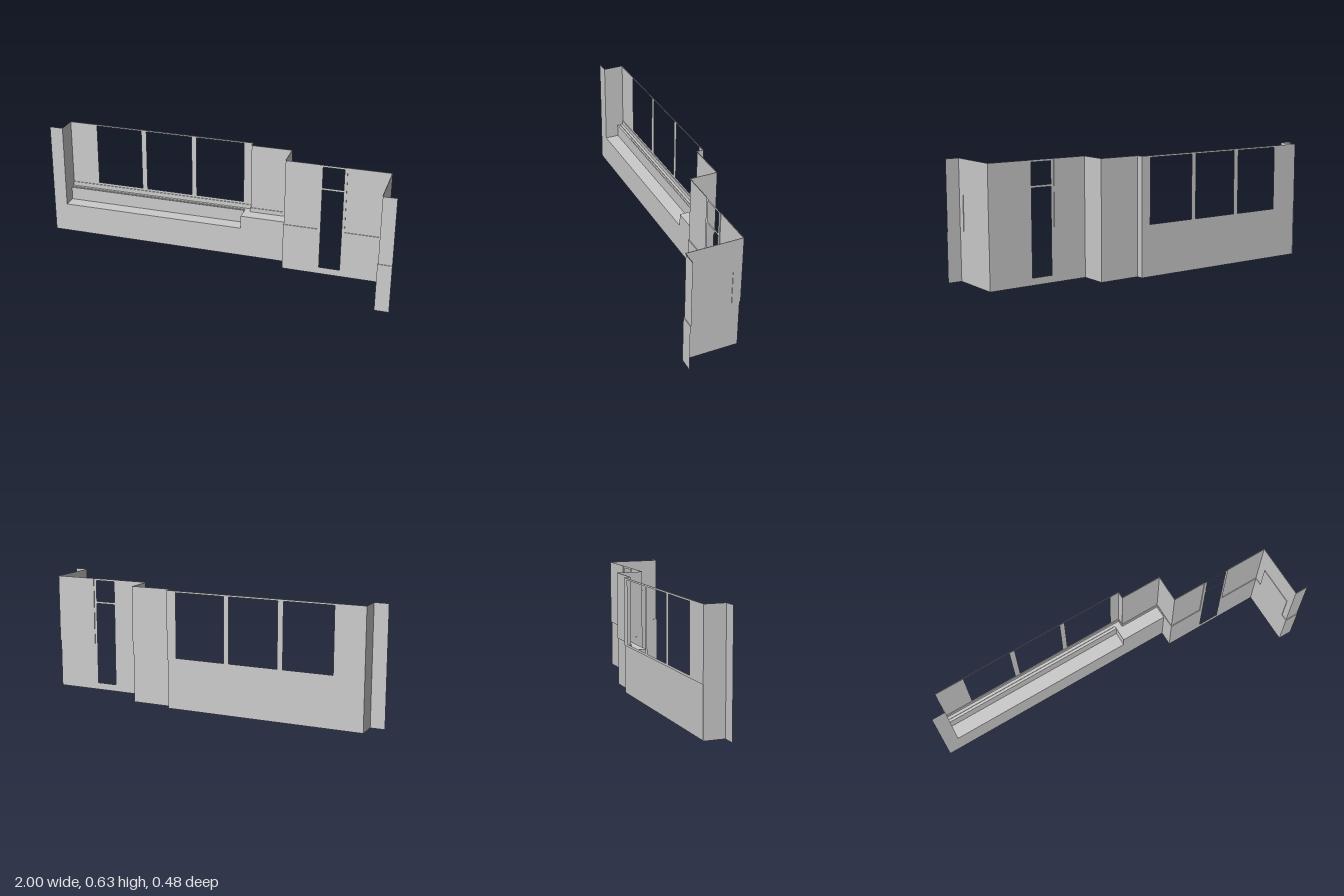
import * as THREE from 'three';

const TOP = 0.629, RAIL = 0.262;
const material = new THREE.MeshStandardMaterial({ color: 0xcccccc, flatShading: true, side: THREE.DoubleSide });

// Wall plan as [x, z]: the inner (lower) line, and the outer (upper) line set slightly back
const inner = [[-0.925, -0.238], [0.145, -0.238], [0.145, -0.201], [0.37, -0.201], [0.37, -0.053], [0.925, -0.053], [0.925, 0.242], [1, 0.242]];
const outer = [[-0.925, -0.242], [0.148, -0.242], [0.148, -0.205], [0.373, -0.205], [0.373, -0.057], [0.928, -0.057], [0.928, 0.238], [1, 0.238]];
const IN_Z = inner[4][1], OUT_Z = outer[4][1];
const CASE_L = 0.555, CASE_R = 0.70;        // door casing
const PANEL_BACK = -0.01, PANEL_FRONT = 0.202, PANEL_TOP = 0.447; // raised panel on the side wall

const rect = (u0, u1, v0, v1) => [[u0, v0], [u1, v0], [u1, v1], [u0, v1]];

export function createModel() {
  const group = new THREE.Group();

  const add = (name, geometry) => {
    const mesh = new THREE.Mesh(geometry, material);
    mesh.name = name;
    group.add(mesh);
    return mesh;
  };

  // Flat sheet in the plane z = at (u is x) or x = at (u is z)
  const sheet = (name, axis, at, outline, holes = []) => {
    const toPoints = (list) => list.map(([u, v]) => new THREE.Vector2(axis === 'z' ? u : -u, v));
    const shape = new THREE.Shape(toPoints(outline));
    for (const hole of holes) shape.holes.push(new THREE.Path(toPoints(hole)));
    const mesh = add(name, new THREE.ShapeGeometry(shape));
    if (axis === 'x') mesh.rotation.y = Math.PI / 2;
    mesh.position[axis] = at;
  };

  // Strip of quads between two matching lines of [x, y, z] points
  const ribbon = (name, a, b) => {
    const position = [];
    for (let i = 0; i < a.length - 1; i++) {
      position.push(...a[i], ...a[i + 1], ...b[i + 1], ...a[i], ...b[i + 1], ...b[i]);
    }
    const geometry = new THREE.BufferGeometry();
    geometry.setAttribute('position', new THREE.Float32BufferAttribute(position, 3));
    geometry.computeVertexNormals();
    add(name, geometry);
  };

  // Plain wall segment between two plan points
  const wallSegment = (name, p, q, y0, y1, holes) => {
    if (p[1] === q[1]) sheet(name, 'z', p[1], rect(p[0], q[0], y0, y1), holes);
    else sheet(name, 'x', p[0], rect(p[1], q[1], y0, y1), holes);
  };

  // Window wall with three openings, and the plain segments around it
  const windows = [[-0.765, -0.5], [-0.47, -0.205], [-0.177, 0.095]].map(([l, r]) => rect(l, r, 0.275, 0.62));
  for (const i of [0, 1, 2, 3, 6]) {
    wallSegment('lowerWall' + i, inner[i], inner[i + 1], 0, RAIL);
    wallSegment(i === 0 ? 'windowWall' : 'upperWall' + i, outer[i], outer[i + 1], RAIL, TOP, i === 0 ? windows : []);
  }

  // Door wall: lower wall and casing in one piece, with door and transom openings
  sheet('doorWall', 'z', IN_Z, [
    [0.37, 0], [0.925, 0], [0.925, RAIL], [CASE_R, RAIL], [CASE_R, TOP], [CASE_L, TOP], [CASE_L, RAIL], [0.37, RAIL],
  ], [rect(0.572, 0.685, 0.038, 0.49), rect(0.572, 0.685, 0.502, 0.618)]);
  sheet('upperDoorWallRight', 'z', OUT_Z, rect(0.373, CASE_L, RAIL, TOP));
  sheet('upperDoorWallLeft', 'z', OUT_Z, rect(CASE_R, 0.928, RAIL, TOP));

  // Side wall with a raised panel rising above the rail
  const panelSteps = [[PANEL_BACK, RAIL], [PANEL_BACK, PANEL_TOP], [PANEL_FRONT, PANEL_TOP], [PANEL_FRONT, RAIL]];
  const sideLower = [[IN_Z, 0], [IN_Z, RAIL], ...panelSteps, [0.242, RAIL], [0.242, 0]];
  const sideUpper = [[OUT_Z, TOP], [OUT_Z, RAIL], ...panelSteps, [0.238, RAIL], [0.238, TOP]];
  sheet('lowerSideWall', 'x', 0.925, sideLower);
  sheet('upperSideWall', 'x', 0.928, sideUpper);

  // Narrow ledges joining the two wall planes along the rail, casing and top
  const loopRight = (plan, z) => [
    ...plan.slice(0, 5).map(([x, w]) => [x, RAIL, w]),
    [CASE_L, RAIL, z], [CASE_L, TOP, z],
    ...plan.slice(0, 5).reverse().map(([x, w]) => [x, TOP, w]),
  ];
  const loopLeft = (plan, z) => [
    ...plan.slice(5).reverse().map(([x, w]) => [x, TOP, w]),
    [CASE_R, TOP, z], [CASE_R, RAIL, z],
    [plan[5][0], RAIL, z],
    ...panelSteps.map(([w, y]) => [plan[5][0], y, w]),
    ...plan.slice(6).map(([x, w]) => [x, RAIL, w]),
  ];
  ribbon('railLedgeRight', loopRight(inner, IN_Z), loopRight(outer, OUT_Z));
  ribbon('railLedgeLeft', loopLeft(inner, IN_Z), loopLeft(outer, OUT_Z));

  // Bay end wall and the front return beside it
  sheet('bayEndWall', 'x', -0.925, rect(-0.242, -0.13, 0, TOP));
  sheet('frontReturn', 'z', -0.13, rect(-1, -0.925, 0, TOP));

  // Bay bench: front wall, low seat, riser and shallow-slotted shelf, as [z, y] profiles run along x
  const run = (name, x0, x1, profile) =>
    ribbon(name, profile.map(([z, y]) => [x0, y, z]), profile.map(([z, y]) => [x1, y, z]));
  const SEAT = 0.165, SHELF = 0.238, RISER = -0.207;
  run('benchSeat', -0.925, 0.112, [
    [-0.13, 0], [-0.13, SEAT], [RISER, SEAT], [RISER, SHELF], [-0.213, SHELF],
    [-0.213, SHELF - 0.005], [-0.223, SHELF - 0.005], [-0.223, SHELF], [-0.238, SHELF],
  ]);
  run('shelfCorner', 0.112, 0.145, [[-0.13, 0], [-0.13, SHELF], [-0.238, SHELF]]);
  run('shelfEnd', 0.145, 0.37, [[-0.13, 0], [-0.13, SHELF], [-0.201, SHELF]]);
  sheet('benchEnd', 'x', 0.112, rect(RISER, -0.13, SEAT, SHELF));

  return group;
}
